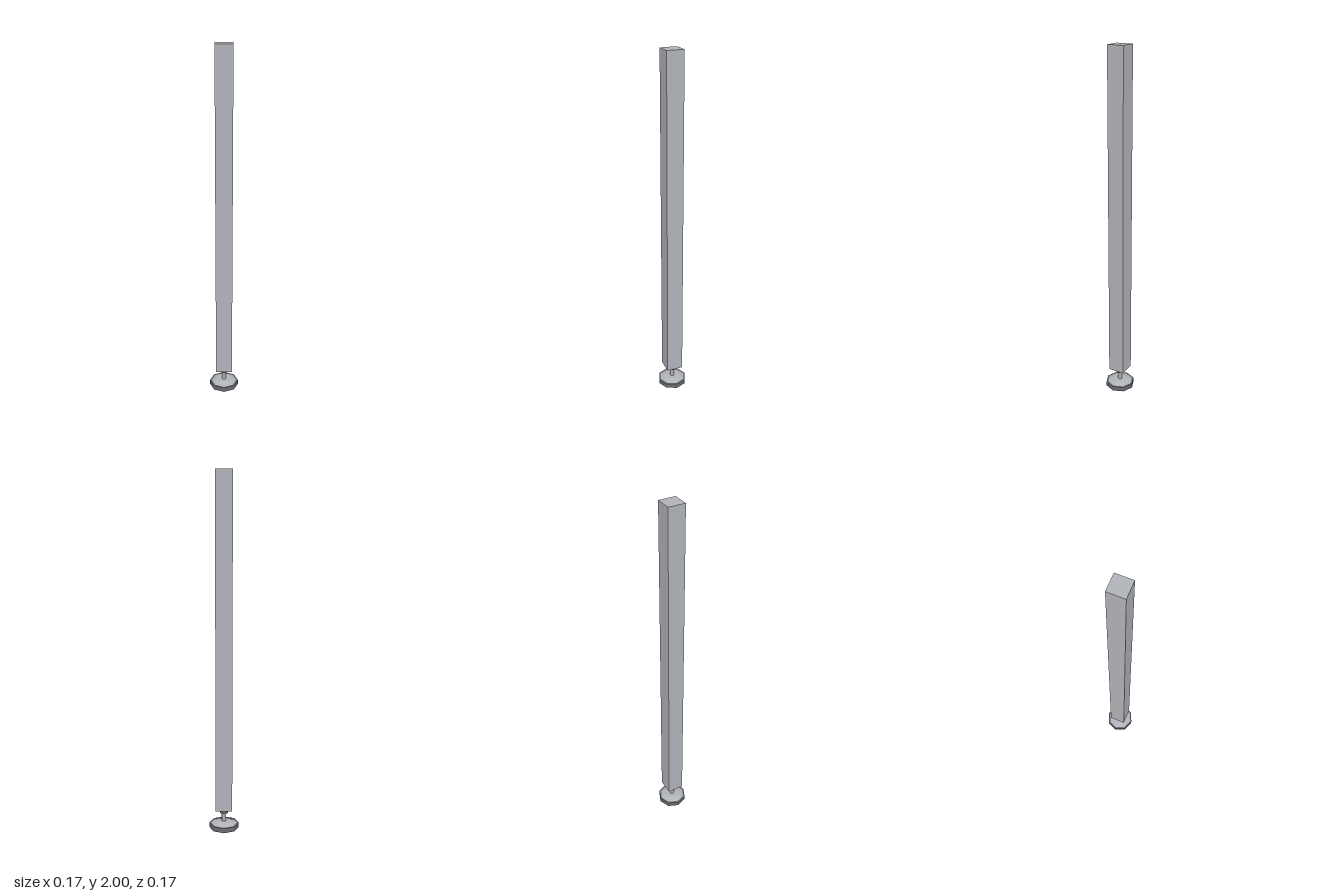
import * as THREE from 'three';

export function createModel() {
  const model = new THREE.Group();
  model.name = 'levellingLeg';
  const steel = new THREE.MeshStandardMaterial({ color: 0xb0b3b8 });
  steel.name = 'light steel';
  const rubber = new THREE.MeshStandardMaterial({ color: 0x6b6d72 });
  rubber.name = 'dark grey';

  const add = (name, geometry, material, y) => {
    const mesh = new THREE.Mesh(geometry, material);
    mesh.name = name;
    mesh.position.y = y;
    model.add(mesh);
  };
  // Upright faceted disc spanning bottom to top
  const disc = (name, rTop, rBottom, bottom, top, sides, material) =>
    add(name, new THREE.CylinderGeometry(rTop, rBottom, top - bottom, sides), material, (bottom + top) / 2);

  // Square post
  add('post', new THREE.BoxGeometry(0.094, 1.885, 0.094), steel, 1.0575);

  // Adjustable foot: pad, sloped cap, threaded stem and lock nut
  disc('footPad', 0.084, 0.084, 0, 0.028, 8, rubber);
  disc('footCap', 0.042, 0.073, 0.028, 0.041, 8, steel);
  disc('stem', 0.013, 0.013, 0.04, 0.118, 8, steel);
  disc('lockNut', 0.026, 0.026, 0.091, 0.109, 6, rubber);

  return model;
}
